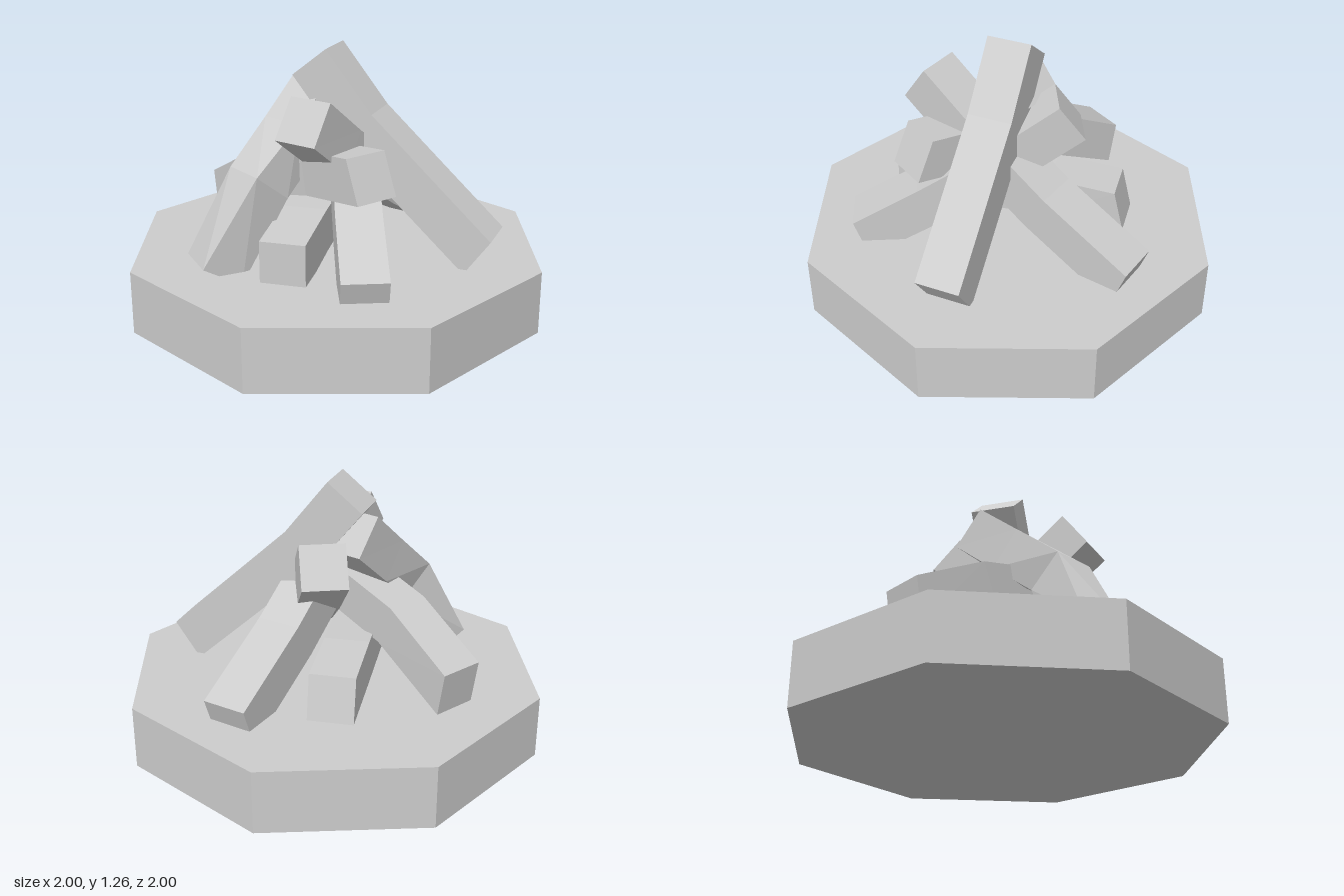
import * as THREE from 'three';

const LOG_WIDTH = 0.21;

// Bent square log swept through its centre points; the slopes tilt the two end caps.
function makeLog(name, material, points, startSlope, endSlope) {
  const up = new THREE.Vector3(0, 1, 0);
  const path = points.map((p) => new THREE.Vector3(...p));
  const last = path.length - 1;
  const half = LOG_WIDTH / 2;

  const rings = path.map((centre, i) => {
    const t = path[Math.min(i + 1, last)].clone().sub(path[Math.max(i - 1, 0)]);
    if (i === 0) t.y = startSlope * Math.hypot(t.x, t.z);
    if (i === last) t.y = endSlope * Math.hypot(t.x, t.z);
    t.normalize();
    const side = t.clone().cross(up).normalize();
    const normal = side.clone().cross(t);
    return [[1, 1], [-1, 1], [-1, -1], [1, -1]].map(([s, n]) =>
      centre.clone().addScaledVector(side, s * half).addScaledVector(normal, n * half));
  });

  const corners = [];
  const quad = (a, b, c, d) => corners.push(a, b, c, a, c, d);
  for (let i = 0; i < last; i++) {
    for (let k = 0; k < 4; k++) {
      const j = (k + 1) % 4;
      quad(rings[i][k], rings[i + 1][k], rings[i + 1][j], rings[i][j]);
    }
  }
  quad(...rings[0]);
  quad(...rings[last].slice().reverse());

  const geometry = new THREE.BufferGeometry().setFromPoints(corners);
  geometry.computeVertexNormals(); // unshared corners give flat faces
  const mesh = new THREE.Mesh(geometry, material);
  mesh.name = name;
  return mesh;
}

export function createModel() {
  const model = new THREE.Group();
  model.name = 'campfire';
  const grey = new THREE.MeshStandardMaterial({ color: 0xcccccc });
  grey.name = 'light grey';

  // Eight-sided base slab
  const slab = new THREE.CylinderGeometry(1, 1, 0.3, 8).toNonIndexed();
  slab.computeVertexNormals();
  const base = new THREE.Mesh(slab, grey);
  base.name = 'base';
  base.position.y = 0.15;
  model.add(base);

  // Stacked logs: centre points from foot to tip, then the foot and tip slopes
  const logs = [
    ['rightLog', [[0.725, 0.364, 0], [0.43, 0.634, 0], [0.138, 0.904, 0], [-0.09, 1.19, 0]], 0.7, 1.25],
    ['backLog', [[0.235, 0.311, -0.694], [0.145, 0.545, -0.25], [0.06, 0.82, 0.165], [0.01, 1.0, 0.4]], 0.36, 0.7],
    ['frontRightLog', [[0.38, 0.305, 0.6], [0.235, 0.485, 0.31], [0.09, 0.69, 0.01], [-0.055, 0.925, -0.28]], 0.33, 0.72],
    ['frontLeftLog', [[-0.385, 0.29, 0.507], [-0.235, 0.673, 0.34], [-0.17, 0.845, 0.12], [-0.105, 1.02, -0.075]], 1.7, 0.87],
    ['leftLog', [[-0.668, 0.41, -0.23], [-0.34, 0.61, -0.03], [-0.01, 0.71, 0.15], [0.305, 0.765, 0.34]], 0.17, 0.45],
    ['lyingLog', [[-0.175, 0.415, -0.52], [-0.13, 0.435, -0.18], [-0.07, 0.425, 0.2], [-0.018, 0.39, 0.565]], -0.24, 0],
  ];
  for (const [name, points, startSlope, endSlope] of logs) {
    model.add(makeLog(name, grey, points, startSlope, endSlope));
  }
  return model;
}
